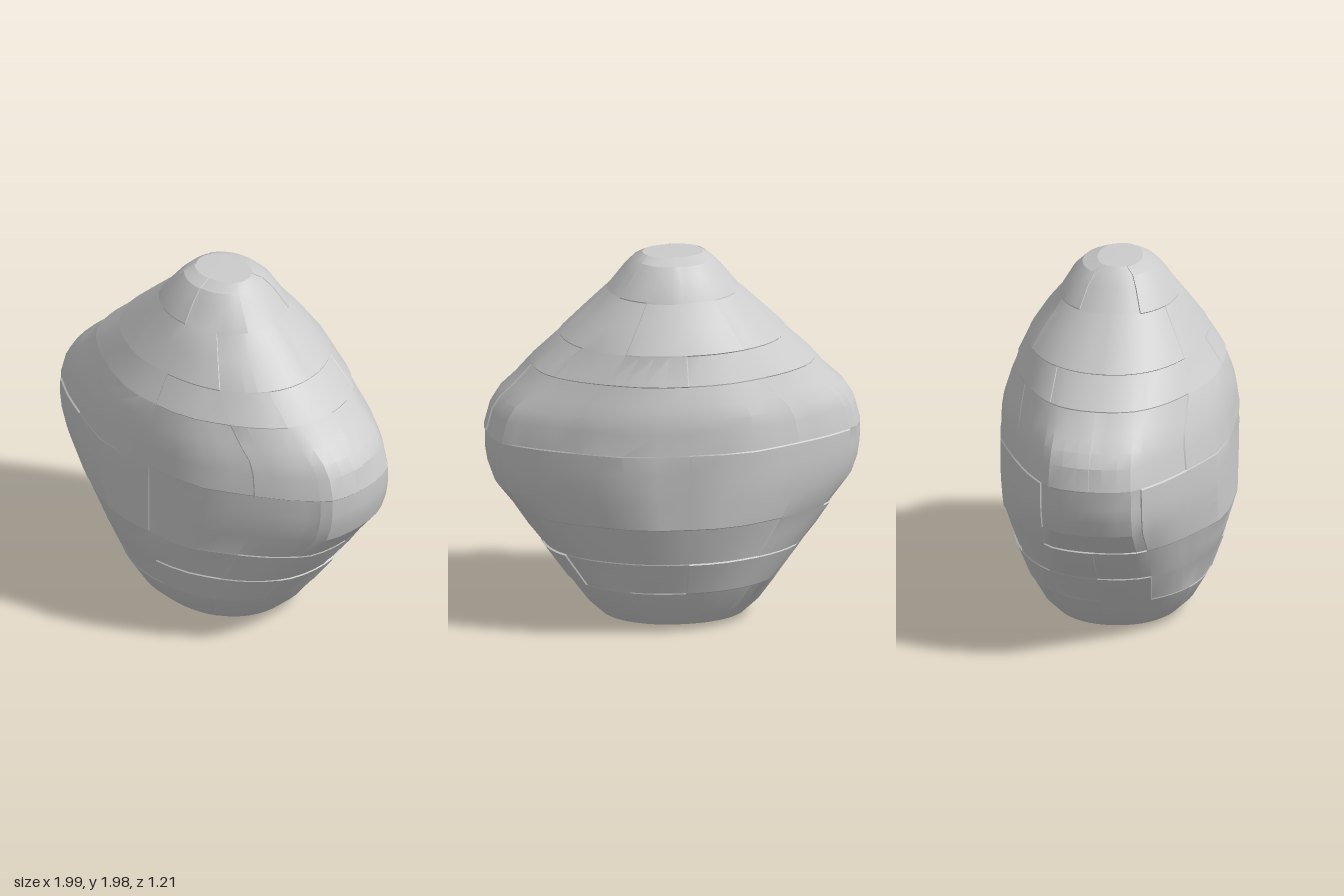
import * as THREE from 'three';
import { toCreasedNormals } from 'three/addons/utils/BufferGeometryUtils.js';

// Profile, bottom to top: height, half width, front depth, back depth
const PROFILE = [
  [0.005, 0.31, 0.26, 0.26], [0.03, 0.39, 0.34, 0.34], [0.1, 0.465, 0.41, 0.405],
  [0.24, 0.567, 0.488, 0.475], [0.42, 0.692, 0.55, 0.545], [0.52, 0.768, 0.58, 0.575],
  [0.63, 0.84, 0.615, 0.605], [0.77, 0.948, 0.618, 0.612], [0.86, 0.98, 0.62, 0.615],
  [0.94, 0.993, 0.62, 0.615], [1.04, 0.993, 0.618, 0.615], [1.16, 0.962, 0.602, 0.608],
  [1.23, 0.918, 0.592, 0.598], [1.3, 0.84, 0.577, 0.578], [1.4, 0.752, 0.545, 0.54],
  [1.55, 0.597, 0.455, 0.475], [1.68, 0.465, 0.375, 0.395], [1.79, 0.35, 0.308, 0.312],
  [1.9, 0.265, 0.24, 0.25], [1.955, 0.21, 0.19, 0.195], [1.985, 0.165, 0.12, 0.115],
];
// Heights where one course of plates meets the next
const SEAMS = [0.24, 0.42, 0.63, 1.04, 1.4, 1.55, 1.79];
const GAP = 0.003;
const FLAT = 0.604; // front and back are cut flat at this depth

// Quarter of the lens-shaped middle section, from blunt tip to flat face
const LENS = new THREE.SplineCurve([
  [1, 0], [0.992, 0.18], [0.955, 0.36], [0.88, 0.47], [0.78, 0.59],
  [0.66, 0.7], [0.5, 0.83], [0.28, 0.97], [0, 1],
].map(([x, z]) => new THREE.Vector2(x, z)));

// Unit section at an angle: an oval at the ends, a lens at the middle
function section(a, lens) {
  const c = Math.cos(a), s = Math.sin(a);
  const p = LENS.getPoint(Math.asin(Math.abs(s)) / (Math.PI / 2));
  const mix = THREE.MathUtils.lerp;
  return [
    Math.sign(c) * mix(Math.abs(c) ** 0.94, p.x, lens),
    Math.sign(s) * mix(Math.abs(s) ** 0.94, p.y, lens),
  ];
}

// Small outward or inward shift of each plate
function plateStep(band, sector) {
  const plate = Math.floor(((sector + band) % 12) / 2);
  const s = Math.sin(band * 12.9898 + plate * 78.233) * 43758.5453;
  return (s - Math.floor(s) - 0.5) * 0.012;
}

// Angles round the body, doubled where plates meet
function makeAngles() {
  const list = [];
  for (let i = 0; i < 48; i++) {
    const a = (i / 48) * Math.PI * 2;
    const sector = Math.floor(i / 4);
    if (i % 4 === 0) {
      list.push({ a: a - 0.004, sector: (sector + 11) % 12 });
      list.push({ a: a + 0.004, sector });
    } else list.push({ a, sector });
  }
  return list;
}

// Rows of the profile, doubled where courses meet
function makeRows() {
  const rows = [];
  let band = 0;
  for (const [y, w, f, b] of PROFILE) {
    if (SEAMS.includes(y)) {
      rows.push({ y: y - GAP, w, f, b, band });
      band++;
      rows.push({ y: y + GAP, w, f, b, band });
    } else rows.push({ y, w, f, b, band });
  }
  return rows;
}

// Joins loops of equal length, listed from bottom to top, into a skin
function loft(loops, bottom, top) {
  const n = loops[0].length;
  const pos = loops.flat(2);
  const index = [];
  for (let r = 0; r < loops.length - 1; r++) {
    for (let i = 0; i < n; i++) {
      const j = (i + 1) % n;
      const a = r * n + i, b = r * n + j, c = a + n, d = b + n;
      index.push(a, c, b, b, c, d);
    }
  }
  const low = pos.length / 3, high = low + 1, last = (loops.length - 1) * n;
  pos.push(...bottom, ...top);
  for (let i = 0; i < n; i++) {
    const j = (i + 1) % n;
    index.push(low, i, j, high, last + j, last + i);
  }
  const geo = new THREE.BufferGeometry();
  geo.setAttribute('position', new THREE.Float32BufferAttribute(pos, 3));
  geo.setIndex(index);
  return toCreasedNormals(geo, 0.3);
}

export function createModel() {
  const group = new THREE.Group();
  group.name = 'boulder';
  const angles = makeAngles();

  // Hollow under the base, from its deep end out to the rim
  const hollow = [[0.17, 0.1], [0.1, 0.13], [0.04, 0.155], [0.012, 0.2]];
  const loops = hollow.map(([y, r]) =>
    angles.map(({ a }) => [r * Math.cos(a), y, r * 0.9 * Math.sin(a)]));

  // Lens-shaped body in stepped plates
  for (const { y, w, f, b, band } of makeRows()) {
    const lens = THREE.MathUtils.smoothstep(w, 0.55, 0.95);
    loops.push(angles.map(({ a, sector }) => {
      const [u, v] = section(a, lens);
      const step = plateStep(band, sector);
      const flat = FLAT + step * 0.5;
      const z = (v > 0 ? f + step : b + step) * v;
      return [(w + step) * u, y, THREE.MathUtils.clamp(z, -flat, flat)];
    }));
  }

  const body = new THREE.Mesh(
    loft(loops, [0, 0.19, 0], [0, 1.988, 0]),
    new THREE.MeshStandardMaterial({ color: 0xcccccc }),
  );
  body.name = 'platedRock';
  group.add(body);
  return group;
}
